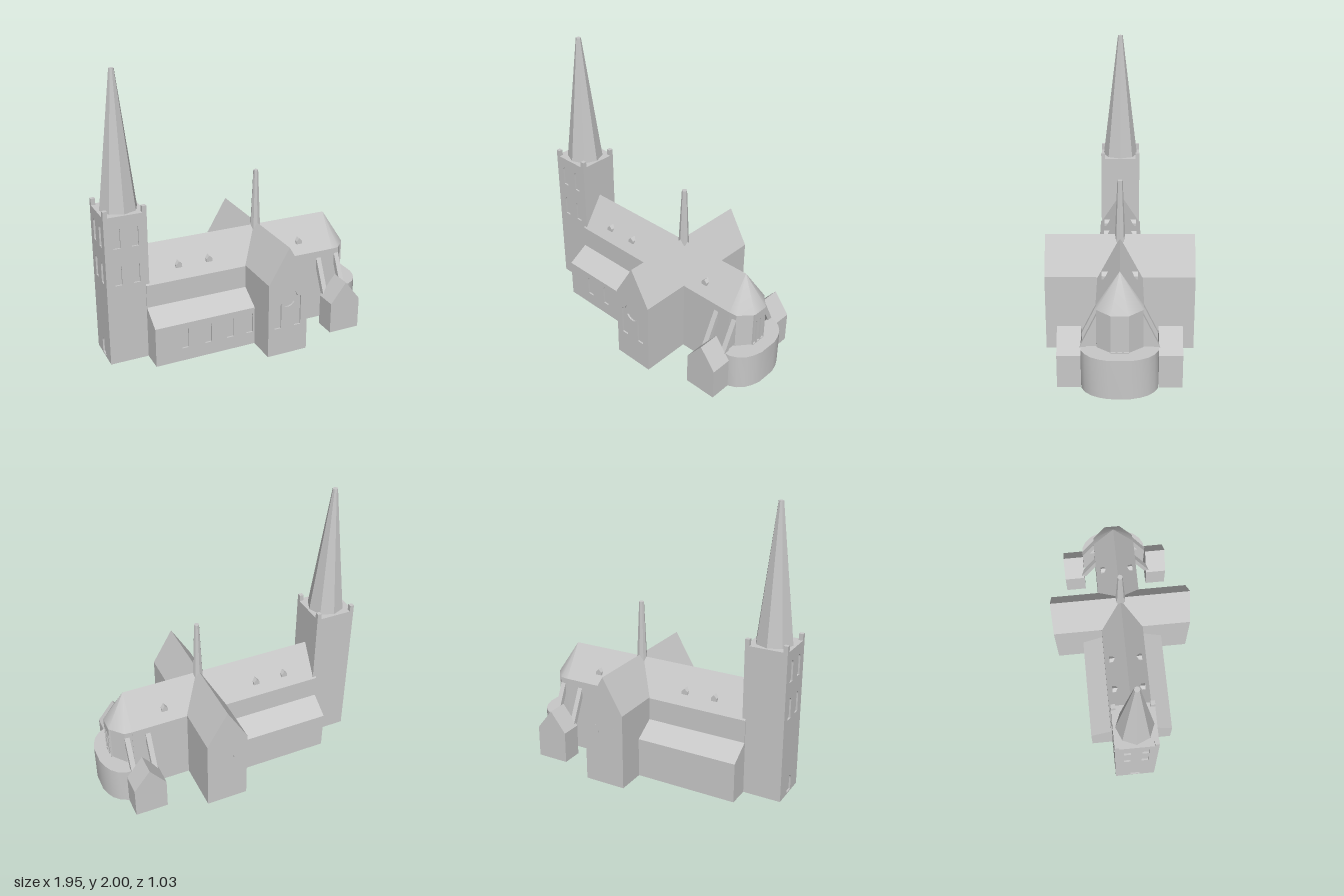
import * as THREE from 'three';
import { toCreasedNormals } from 'three/addons/utils/BufferGeometryUtils.js';

const D = 0.012; // depth of window recesses

export function createModel() {
  const model = new THREE.Group();
  const stone = new THREE.MeshStandardMaterial({ color: 0xc8c8c8 });

  const add = (name, geo) => {
    const mesh = new THREE.Mesh(geo, stone);
    mesh.name = name;
    model.add(mesh);
    return mesh;
  };
  const vecs = (pts, s = 1) => pts.map(([x, y]) => new THREE.Vector2(s * x, y));
  const extrude = (shape, depth) => new THREE.ExtrudeGeometry(shape, { depth, bevelEnabled: false });
  const rect = (x0, x1, y0, y1) => [[x0, y0], [x1, y0], [x1, y1], [x0, y1]];
  const gable = (x0, x1, eave, ridge) => [[x0, 0], [x1, 0], [x1, eave], [(x0 + x1) / 2, ridge], [x0, eave]];

  // Box given by its limits
  const box = (name, x0, x1, y0, y1, z0, z1) =>
    add(name, new THREE.BoxGeometry(x1 - x0, y1 - y0, z1 - z0)
      .translate((x0 + x1) / 2, (y0 + y1) / 2, (z0 + z1) / 2));

  // Prism along x from a (z, y) section
  const prismX = (name, pts, x0, x1) =>
    add(name, extrude(new THREE.Shape(vecs(pts, -1)), x1 - x0).rotateY(Math.PI / 2).translate(x0, 0, 0));

  // Prism along z from an (x, y) section
  const prismZ = (name, pts, z0, z1) =>
    add(name, extrude(new THREE.Shape(vecs(pts)), z1 - z0).translate(0, 0, z0));

  // Upright prism from an (x, z) footprint
  const prismY = (name, pts, y0, y1) =>
    extrude(new THREE.Shape(vecs(pts.map(([x, z]) => [x, -z]))), y1 - y0).rotateX(-Math.PI / 2).translate(0, y0, 0);

  // Wall skin with openings, its face at distance dist, turned about y
  const panel = (name, outline, holes, theta, dist) => {
    const s = theta === Math.PI ? -1 : 1;
    const shape = new THREE.Shape(vecs(outline, s));
    holes.forEach(h => shape.holes.push(new THREE.Path(vecs(h, s))));
    add(name, extrude(shape, D).translate(0, 0, dist - D).rotateY(theta));
  };

  // Round-headed opening
  const arch = (x, y0, y1, w) => {
    const r = w / 2, pts = [[x - r, y0], [x + r, y0]];
    for (let i = 0; i <= 10; i++) {
      const a = (Math.PI * i) / 10;
      pts.push([x + r * Math.cos(a), y1 - r + r * Math.sin(a)]);
    }
    return pts;
  };
  const faces = [0, Math.PI];

  // West tower with two rows of paired windows on three sides
  const tx = -0.8275, tw = 0.1475;
  box('towerCore', -0.975 + D, -0.68, 0, 1.07, -tw + D, tw - D);
  const towerWindows = c => [0.58, 0.845].flatMap(y => [-0.0625, 0.0625].map(o => arch(c + o, y, y + 0.15, 0.047)));
  faces.forEach(t => panel('towerWall', rect(-0.975, -0.68, 0, 1.07), towerWindows(tx), t, tw));
  panel('towerWestWall', rect(-tw, tw, 0, 1.07), [...towerWindows(0), arch(0, 0.01, 0.13, 0.07)], -Math.PI / 2, 0.975);
  for (const x of [-0.96, -0.695]) for (const z of [-0.1325, 0.1325])
    box('towerPinnacle', x - 0.015, x + 0.015, 1.07, 1.115, z - 0.015, z + 0.015);

  // Spires
  const spire = (name, r0, r1, x, y0, y1) =>
    add(name, toCreasedNormals(new THREE.CylinderGeometry(r1, r0, y1 - y0, 8), 0.3).translate(x, (y0 + y1) / 2, 0));
  spire('towerSpire', 0.13, 0.018, -0.825, 1.07, 2);
  spire('crossingSpire', 0.038, 0.018, 0.185, 0.74, 1.19);

  // Nave and choir
  prismX('nave', gable(-0.155, 0.155, 0.54, 0.78), -0.705, 0.745);

  // Polygonal apse with three lancets at the end
  const apse = [[0.745, 0.152], [0.8, 0.15], [0.885, 0.058], [0.885, -0.058], [0.8, -0.15], [0.745, -0.152]];
  const inner = apse.map(([x, z]) => [Math.min(x, 0.885 - D), z]);
  add('apseWall', prismY('apseWall', inner, 0, 0.54));
  panel('apseEndWall', rect(-0.058, 0.058, 0, 0.54),
    [-0.042, 0, 0.042].map(z => arch(z, 0.28, 0.475, 0.03)), Math.PI / 2, 0.885);

  // Hipped apse roof as a fan around the ridge end
  const eaves = apse.map(([x, z]) => [x, 0.54, x < 0.8 ? Math.sign(z) * 0.155 : z]);
  const fan = [];
  for (let i = 0; i < eaves.length - 1; i++) fan.push(0.745, 0.78, 0, ...eaves[i], ...eaves[i + 1]);
  const fanGeo = new THREE.BufferGeometry();
  fanGeo.setAttribute('position', new THREE.Float32BufferAttribute(fan, 3));
  add('apseRoof', toCreasedNormals(fanGeo, 1.0));

  // Low rounded ambulatory around the apse
  const curve = [[0.79, 0.25], [0.84, 0.248], [0.89, 0.222], [0.93, 0.18], [0.955, 0.13], [0.972, 0.07]];
  const mirrored = curve.map(([x, z]) => [x, -z]).reverse();
  add('ambulatory', toCreasedNormals(prismY('ambulatory', [...curve, ...mirrored], 0, 0.275), 0.7));

  // Transept with a gable at each end
  const gableOutline = gable(0.035, 0.335, 0.545, 0.8);
  prismZ('transept', gableOutline, -0.515 + D, 0.515 - D);
  // Two lancets joined below a round rose
  const rose = [[0.083, 0.205], [0.133, 0.205], [0.133, 0.39]];
  for (let i = 0; i <= 6; i++) {
    const a = Math.PI * (1.2 + 0.1 * i);
    rose.push([0.183 + 0.055 * Math.cos(a), 0.418 + 0.058 * Math.sin(a)]);
  }
  rose.push([0.233, 0.39], [0.233, 0.205], [0.283, 0.205], [0.283, 0.415], [0.276, 0.43], [0.258, 0.432]);
  for (let i = 0; i <= 12; i++) {
    const a = Math.PI * (0.06 + 0.88 * i / 12);
    rose.push([0.183 + 0.075 * Math.cos(a), 0.415 + 0.073 * Math.sin(a)]);
  }
  rose.push([0.108, 0.432], [0.09, 0.43], [0.083, 0.415]);
  faces.forEach(t => panel('transeptGable', gableOutline, [rose], t, 0.515));

  // Aisle windows
  const aisleWindows = [-0.49, -0.32, -0.153, -0.003].map(x => arch(x, 0.095, 0.25, 0.05));
  faces.forEach(t => panel('aisleWall', rect(-0.705, 0.035, 0, 0.285), aisleWindows, t, 0.305));

  // Parts repeated on both long sides
  for (const s of [1, -1]) {
    const side = pts => pts.map(([z, y]) => [s * z, y]);
    const zSpan = (a, b) => (s > 0 ? [a, b] : [-b, -a]);

    prismX('aisle', side(rect(0.14, 0.305 - D, 0, 0.285)), -0.705, 0.035);
    prismX('aisleRoof', side([[0.305, 0.285], [0.15, 0.38], [0.15, 0.285]]), -0.705, 0.035);

    prismZ('sideChapel', gable(0.6, 0.835, 0.23, 0.38), ...zSpan(0.25, 0.405));

    for (const x of [0.613, 0.765])
      prismX('flyingButtress', side([[0.15, 0.5], [0.15, 0.42], [0.235, 0.24], [0.275, 0.24]]), x, x + 0.036);

    for (const x of [-0.452, -0.227, 0.485]) {
      const w = 0.022;
      prismZ('dormer', [[x - w, 0.612], [x + w, 0.612], [x + w, 0.634], [x, 0.657], [x - w, 0.634]], ...zSpan(0.075, 0.12));
    }
  }

  return model;
}
